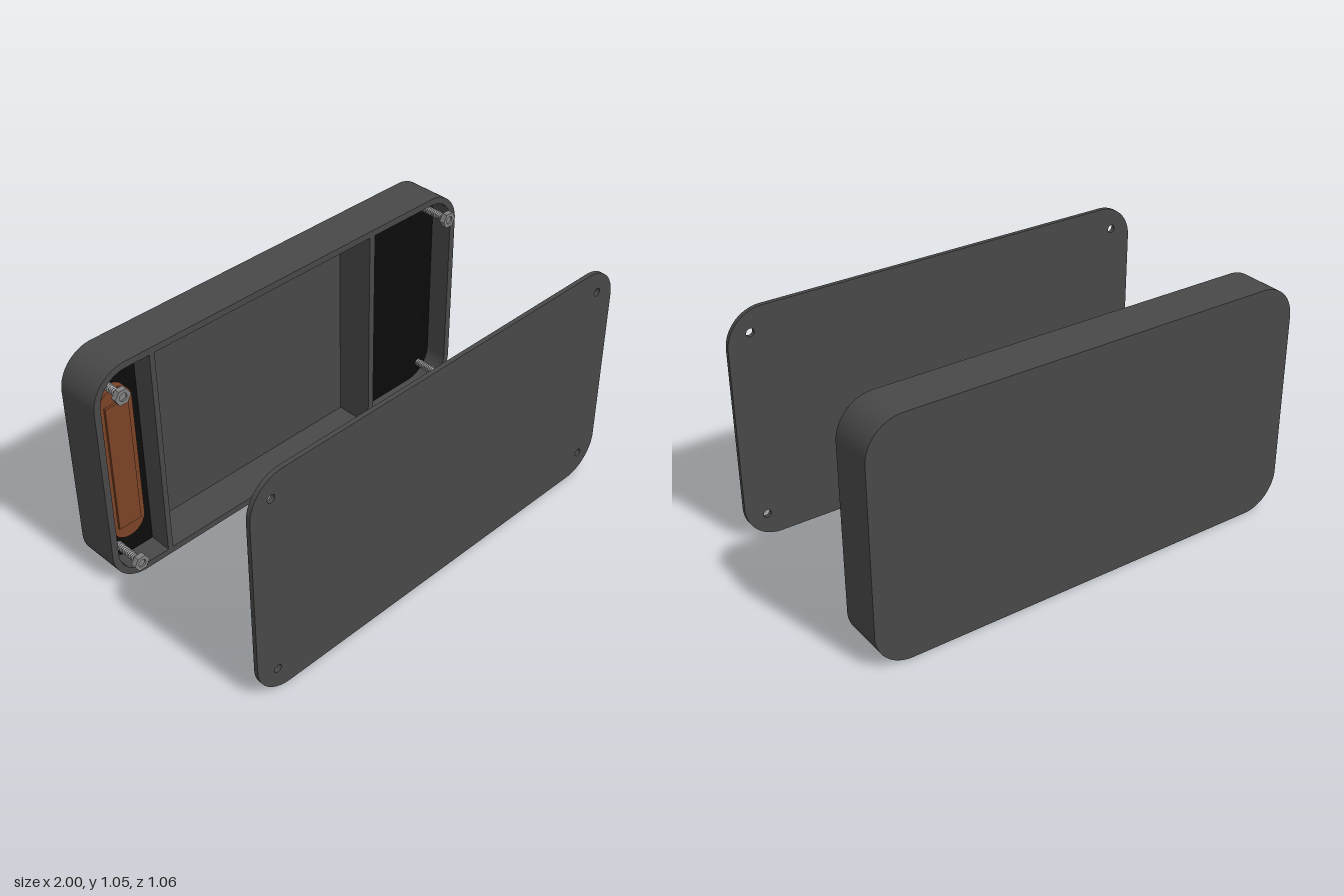
import * as THREE from 'three';
import { toCreasedNormals } from 'three/addons/utils/BufferGeometryUtils.js';

const H = 1.053, WALL = 0.03, R = 0.16;
const BACK = -0.53, FLOOR = -0.51, RIM = -0.33, LINER = -0.435;

const mat = (color) => new THREE.MeshStandardMaterial({ color });

// Rectangle outline with separate corner radii for its left and right ends
function roundRect(Type, x0, x1, y0, y1, rl, rr = rl) {
  const s = new Type();
  s.moveTo(x0 + rl, y0);
  s.lineTo(x1 - rr, y0);
  if (rr) s.absarc(x1 - rr, y0 + rr, rr, -Math.PI / 2, 0, false);
  s.lineTo(x1, y1 - rr);
  if (rr) s.absarc(x1 - rr, y1 - rr, rr, 0, Math.PI / 2, false);
  s.lineTo(x0 + rl, y1);
  if (rl) s.absarc(x0 + rl, y1 - rl, rl, Math.PI / 2, Math.PI, false);
  s.lineTo(x0, y0 + rl);
  if (rl) s.absarc(x0 + rl, y0 + rl, rl, Math.PI, Math.PI * 1.5, false);
  return s;
}

// Extrude an outline between two z positions
function slab(shape, z0, z1) {
  const g = new THREE.ExtrudeGeometry(shape, { depth: z1 - z0, bevelEnabled: false, curveSegments: 16 });
  g.translate(0, 0, z0);
  return toCreasedNormals(g, 0.5);
}

export function createModel() {
  const model = new THREE.Group();
  model.name = 'enclosure';
  const shell = mat(0x484848), black = mat(0x0b0b0b), metal = mat(0x808080), brown = mat(0x7a4326);

  const add = (parent, name, geometry, material) => {
    const mesh = new THREE.Mesh(geometry, material);
    mesh.name = name;
    parent.add(mesh);
    return mesh;
  };
  const screwSpots = [];
  for (const x of [-0.9, 0.9]) for (const y of [0.105, 0.948]) screwSpots.push([x, y]);

  // Cover plate with four screw holes
  const cover = roundRect(THREE.Shape, -1, 1, 0, H, R);
  for (const [x, y] of screwSpots) {
    cover.holes.push(new THREE.Path().absarc(x, y, 0.018, 0, Math.PI * 2, true));
  }
  add(model, 'coverPlate', slab(cover, 0.51, 0.53), shell);

  // Open case: back panel and surrounding wall
  const housing = new THREE.Group();
  housing.name = 'case';
  model.add(housing);
  add(housing, 'backPanel', slab(roundRect(THREE.Shape, -1, 1, 0, H, R), BACK, FLOOR), shell);
  const wall = roundRect(THREE.Shape, -1, 1, 0, H, R);
  wall.holes.push(roundRect(THREE.Path, -1 + WALL, 1 - WALL, WALL, H - WALL, R - WALL));
  add(housing, 'sideWall', slab(wall, FLOOR, RIM), shell);

  // Two partitions making three compartments
  for (const [name, x0, x1] of [['leftDivider', 0.46, 0.49], ['rightDivider', -0.725, -0.7]]) {
    add(housing, name, slab(roundRect(THREE.Shape, x0, x1, WALL, H - WALL, 0), FLOOR, RIM), shell);
  }

  // Black blocks filling the base of the end compartments
  const r = R - WALL;
  add(housing, 'leftInsert',
    slab(roundRect(THREE.Shape, 0.49, 1 - WALL, WALL, H - WALL, 0, r), FLOOR, LINER), black);
  add(housing, 'rightInsert',
    slab(roundRect(THREE.Shape, -1 + WALL, -0.725, WALL, H - WALL, r, 0), FLOOR, LINER), black);

  // Round-ended brown component with a raised face
  const component = new THREE.Group();
  component.name = 'component';
  model.add(component);
  add(component, 'componentBody',
    slab(roundRect(THREE.Shape, -0.935, -0.775, 0.15, 0.9, 0.079), LINER, -0.4), brown);
  add(component, 'componentFace',
    slab(roundRect(THREE.Shape, -0.91, -0.8, 0.22, 0.83, 0), -0.4, -0.39), brown);

  // Screw: hexagonal head with a round socket, and a threaded shank
  const hex = new THREE.Shape();
  for (let i = 0; i < 6; i++) {
    const a = i * Math.PI / 3;
    hex[i ? 'lineTo' : 'moveTo'](0.037 * Math.cos(a), 0.037 * Math.sin(a));
  }
  hex.closePath();
  const baseGeo = slab(hex, -0.3, -0.283);
  const socketed = hex.clone();
  socketed.holes.push(new THREE.Path().absarc(0, 0, 0.018, 0, Math.PI * 2, true));
  const topGeo = slab(socketed, -0.283, -0.275);

  const profile = [new THREE.Vector2(0, LINER)];
  const turns = 14, pitch = (-0.3 - LINER) / turns;
  for (let i = 0; i < turns; i++) {
    profile.push(new THREE.Vector2(0.014, LINER + i * pitch));
    profile.push(new THREE.Vector2(0.018, LINER + (i + 0.5) * pitch));
  }
  profile.push(new THREE.Vector2(0.014, -0.3));
  const shankGeo = toCreasedNormals(new THREE.LatheGeometry(profile, 20).rotateX(Math.PI / 2), 0.5);

  for (const [x, y] of screwSpots) {
    const screw = new THREE.Group();
    screw.name = 'screw';
    screw.position.set(x, y, 0);
    add(screw, 'screwHeadBase', baseGeo, metal);
    add(screw, 'screwHeadTop', topGeo, metal);
    add(screw, 'screwShank', shankGeo, metal);
    model.add(screw);
  }
  return model;
}
